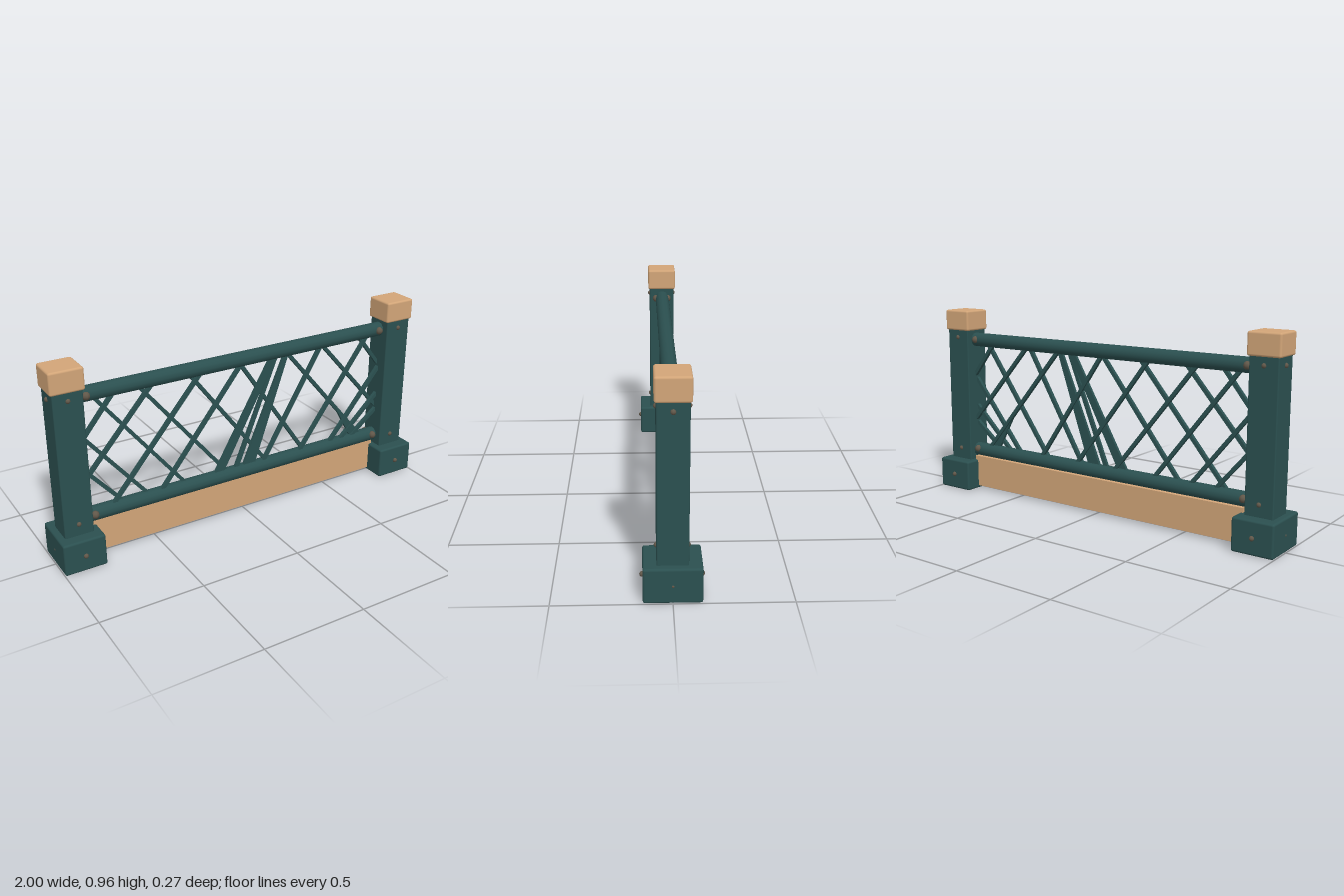
import * as THREE from 'three';
import { RoundedBoxGeometry } from 'three/addons/geometries/RoundedBoxGeometry.js';

const mat = (name, color) => {
  const m = new THREE.MeshStandardMaterial({ color });
  m.name = name;
  return m;
};

export function createModel() {
  const root = new THREE.Group();
  root.name = 'fencePanel';
  const green = mat('dark green paint', 0x2b5050);
  const wood = mat('light wood', 0xd2a578);
  const bronze = mat('aged bronze', 0x62584a);

  const add = (parent, name, geo, m, x = 0, y = 0, z = 0) => {
    const mesh = new THREE.Mesh(geo, m);
    mesh.name = name;
    mesh.position.set(x, y, z);
    parent.add(mesh);
    return mesh;
  };
  const block = (w, h, d, r) => new RoundedBoxGeometry(w, h, d, 2, r);

  // Domed bolt pointing along a horizontal direction
  const boltGeo = new THREE.SphereGeometry(0.012, 8, 6);
  const bolt = (parent, x, y, z, s = 1) =>
    add(parent, 'bolt', boltGeo, bronze, x, y, z).scale.setScalar(s);

  // End posts with bases, caps and bolts
  for (const side of [-1, 1]) {
    const post = new THREE.Group();
    post.name = side > 0 ? 'leftPost' : 'rightPost';
    root.add(post);
    const cx = side * 0.896;
    add(post, 'postBase', block(0.204, 0.158, 0.246, 0.01), green, side * 0.896, 0.079, 0);
    add(post, 'postShaft', block(0.14, 0.74, 0.132, 0.006), green, cx, 0.5, 0);
    add(post, 'postCap', block(0.16, 0.106, 0.148, 0.01), wood, cx, 0.91, 0);
    for (const f of [-1, 1]) {
      bolt(post, cx, 0.82, f * 0.064);
      bolt(post, cx, 0.215, f * 0.064);
      bolt(post, cx, 0.079, f * 0.124);
      bolt(post, side * 0.896 + f * 0.098, 0.079, 0, 0.6);
    }
    bolt(post, side * 0.965, 0.82, 0);
    // Rail fixings
    for (const y of [0.81, 0.217]) {
      for (const f of [-1, 1]) bolt(post, side * 0.802, y, f * 0.031, 1.6);
    }
  }

  // Round horizontal rails
  const railGeo = new THREE.CylinderGeometry(0.036, 0.036, 1.68, 12).rotateZ(Math.PI / 2);
  add(root, 'topRail', railGeo, green, 0, 0.808, -0.002);
  add(root, 'bottomRail', railGeo, green, 0, 0.209, -0.002);

  // Kick board between the bases
  add(root, 'kickBoard', new THREE.BoxGeometry(1.62, 0.165, 0.062), wood, 0, 0.097, -0.014);

  // Lattice slats: x, y of the top end, then x, y of the bottom end
  const T = 0.785, B = 0.232;
  const slats = [
    [-0.76, T, -0.32, B], [-0.54, T, -0.09, B], [-0.28, T, 0.14, B], [-0.01, T, 0.37, B],
    [0.26, T, 0.73, B], [0.47, T, 0.83, 0.38], [0.7, T, 0.83, 0.62],
    [-0.83, 0.61, -0.52, B], [-0.83, 0.44, -0.65, B],
    [-0.67, T, -0.83, 0.59], [-0.48, T, -0.83, 0.39], [-0.23, T, -0.7, B],
    [-0.01, T, -0.45, B], [0.45, T, 0.12, B], [0.74, T, 0.34, B],
    [0.83, 0.6, 0.53, B], [0.83, 0.45, 0.6, B], [0.83, 0.36, 0.67, B],
  ];
  const lattice = new THREE.Group();
  lattice.name = 'lattice';
  root.add(lattice);
  for (const [x1, y1, x2, y2] of slats) {
    const len = Math.hypot(x1 - x2, y1 - y2);
    const z = x1 > x2 ? 0.005 : -0.007;
    const slat = add(lattice, 'slat', new THREE.BoxGeometry(0.018, len, 0.018), green,
      (x1 + x2) / 2, (y1 + y2) / 2, z);
    slat.rotation.z = Math.atan2(x2 - x1, y1 - y2);
  }

  // Broad tapering slats: outline corners in the plane of the panel
  const wedges = [
    [[-0.165, B], [-0.11, B], [0.19, T], [0.155, T]],
    [[-0.05, B], [-0.025, B], [0.2, T], [0.18, T]],
    [[0.0, B], [0.07, B], [0.262, T], [0.235, T]],
    [[0.56, 0.43], [0.67, B], [0.74, B]],
  ];
  for (const pts of wedges) {
    const shape = new THREE.Shape(pts.map(([x, y]) => new THREE.Vector2(x, y)));
    const geo = new THREE.ExtrudeGeometry(shape, { depth: 0.014, bevelEnabled: false });
    add(lattice, 'broadSlat', geo, green, 0, 0, -0.007);
  }
  return root;
}
